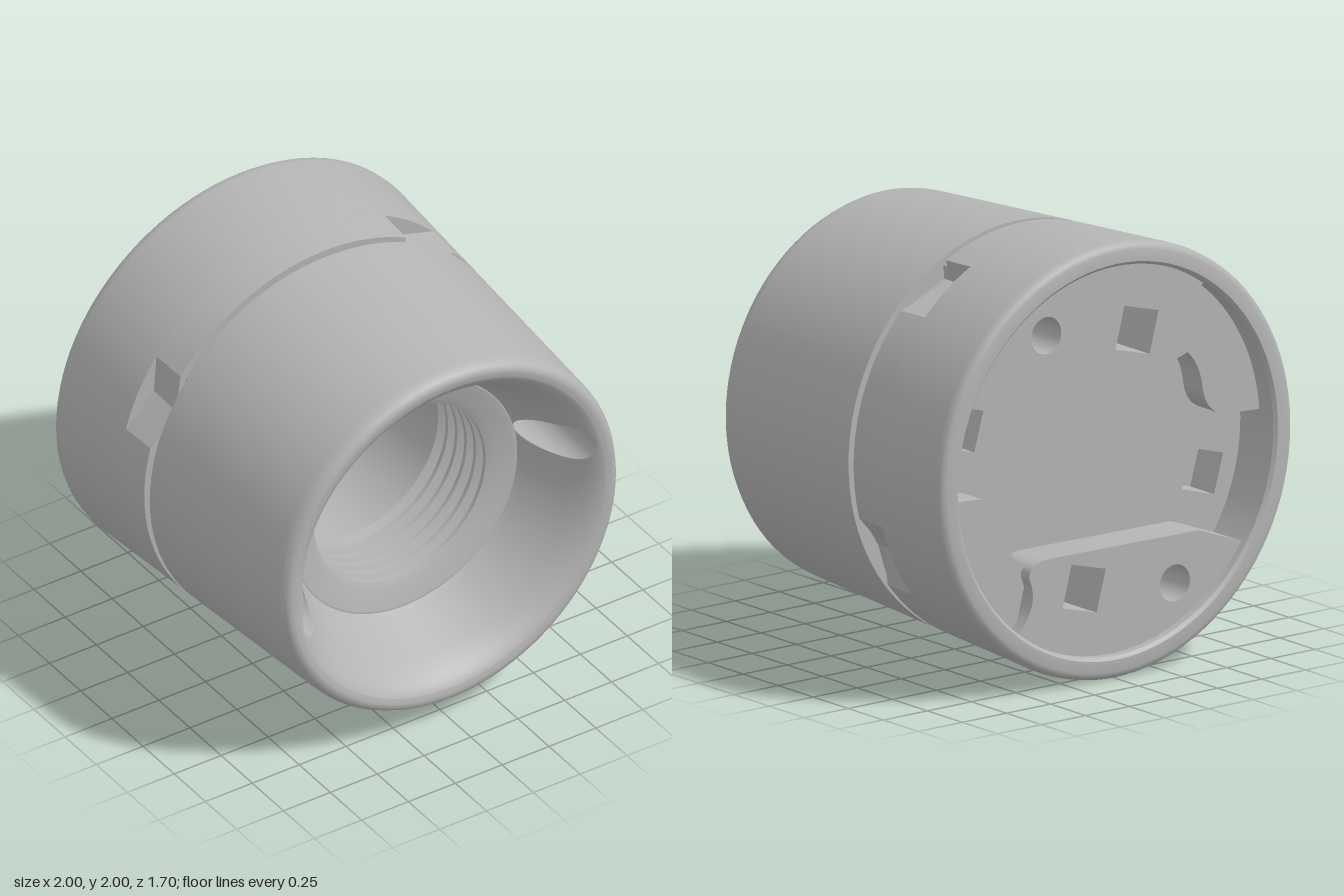
import * as THREE from 'three';
import { toCreasedNormals } from 'three/addons/utils/BufferGeometryUtils.js';
import { ParametricGeometry } from 'three/addons/geometries/ParametricGeometry.js';

const gray = new THREE.MeshStandardMaterial({ color: 0xb4b4b4, side: THREE.DoubleSide });
gray.name = 'plain gray';

const V2 = (x, y) => new THREE.Vector2(x, y);
const outerRadius = z => 0.95 - 0.0625 * z;
const rad = THREE.MathUtils.degToRad;

export function createModel() {
  const model = new THREE.Group();
  const body = new THREE.Group();
  body.name = 'body';
  body.position.y = 1;
  model.add(body);

  function add(name, geometry, turn = 0, crease = 0.6) {
    const mesh = new THREE.Mesh(toCreasedNormals(geometry, crease), gray);
    mesh.name = name;
    mesh.rotation.z = turn;
    body.add(mesh);
  }
  // profile points are [radius, z], turned about the z axis
  const turned = pts => new THREE.LatheGeometry(pts.map(p => V2(...p)), 96).rotateX(Math.PI / 2);
  const prism = (shape, z0, z1) => new THREE.ExtrudeGeometry(shape,
    { depth: z1 - z0, bevelEnabled: false, curveSegments: 48 }).translate(0, 0, z0);
  const circle = (x, y, r) => new THREE.Path().absarc(x, y, r, 0, Math.PI * 2, true);
  function square(x, y, size, angle) {
    const pts = [];
    for (let i = 0; i < 4; i++) {
      const a = angle + Math.PI / 4 - i * Math.PI / 2;
      pts.push(V2(x + Math.cos(a) * size * 0.7071, y + Math.sin(a) * size * 0.7071));
    }
    return new THREE.Path(pts);
  }

  // Front half: tapered outside with a rounded lip
  add('frontShell', turned([
    [0.7, -0.135], [outerRadius(-0.135), -0.135], [0.901, 0.78], [0.897, 0.81],
    [0.882, 0.837], [0.865, 0.849], [0.845, 0.85], [0.82, 0.843],
  ]));

  // Flared front bowl, with two round bores sunk into its wall
  const D = 0.702, C = 0.104, A0 = 0.252, H = Math.asin(C / D), boreFloor = 0.3;
  const bowlZ = r => {
    if (r <= 0.6) return 0.47;
    return r <= 0.7 ? 0.47 + (r - 0.6) * 2.15 : 0.85 - 7.33 * (0.85 - r) ** 2;
  };
  function bowlAngle(v) {
    const t = v * 2, half = Math.min(Math.floor(t), 1), s = t - half;
    const a = s < 0.25 ? A0 - H * Math.cos(Math.PI * s / 0.25)
      : A0 + H + (Math.PI - 2 * H) * (s - 0.25) / 0.75;
    const d = s < 0.25 ? a - A0 : H;
    return [a + half * Math.PI, D * Math.cos(d),
      Math.sqrt(Math.max(0, C * C - (D * Math.sin(d)) ** 2))];
  }
  for (const [name, side, edge] of [['bowlInner', -1, 0.59], ['bowlOuter', 1, 0.82]]) {
    add(name, new ParametricGeometry((u, v, target) => {
      const [a, mid, half] = bowlAngle(v);
      const r = THREE.MathUtils.lerp(mid + side * half, edge, u);
      target.set(r * Math.cos(a), r * Math.sin(a), bowlZ(r));
    }, 12, 128));
  }
  for (const turn of [A0, A0 + Math.PI]) {
    add('boreWall', new ParametricGeometry((u, v, target) => {
      const a = v * Math.PI * 2, x = D + C * Math.cos(a), y = C * Math.sin(a);
      target.set(x, y, THREE.MathUtils.lerp(boreFloor, bowlZ(Math.hypot(x, y)), u));
    }, 1, 40), turn);
    add('boreFloor', new THREE.CircleGeometry(C, 40).translate(D, 0, boreFloor), turn);
  }

  // Ring at the bottom of the bowl and the threaded socket
  const socket = [[0.6, 0.47], [0.49, 0.445]];
  for (let i = 0; i < 5; i++) {
    const z = 0.43 - i * 0.075;
    socket.push([0.457, z], [0.457, z - 0.02], [0.5, z - 0.04], [0.5, z - 0.055]);
  }
  socket.push([0.457, 0.05], [0.457, -0.4], [0, -0.4]);
  add('threadedSocket', turned(socket));

  // Middle band and groove core, with four V-shaped notches
  const notches = [[44, 63, 0.415, 0.76], [143, 165, -0.79, 0.4],
    [224, 243, -0.415, -0.76], [323, 345, 0.79, -0.4]];
  function notchedRing(r) {
    const pts = [];
    notches.forEach(([start, end, x, y], i) => {
      const next = i < 3 ? notches[i + 1][0] : 404;
      pts.push(V2(r * Math.cos(rad(start)), r * Math.sin(rad(start))), V2(x, y));
      for (let k = 0; k < 24; k++) {
        const a = rad(end + (next - end) * k / 24);
        pts.push(V2(r * Math.cos(a), r * Math.sin(a)));
      }
    });
    const shape = new THREE.Shape(pts);
    shape.holes.push(circle(0, 0, 0.7));
    return shape;
  }
  const band = prism(notchedRing(1), -0.355, -0.175);
  const p = band.attributes.position;
  for (let i = 0; i < p.count; i++) {
    // taper only the outer surface
    if (Math.hypot(p.getX(i), p.getY(i)) > 0.95) {
      const s = outerRadius(p.getZ(i));
      p.setXY(i, p.getX(i) * s, p.getY(i) * s);
    }
  }
  add('notchedBand', band, 0, 0.2);
  add('grooveCore', prism(notchedRing(0.925), -0.175, -0.135), 0, 0.2);

  // Back half: rounded rim and recess wall
  add('backShell', turned([
    [0.895, -0.42], [0.895, -0.835], [0.91, -0.85], [0.965, -0.85], [0.985, -0.843],
    [0.997, -0.828], [1, -0.8], [outerRadius(-0.355), -0.355], [0.7, -0.355],
  ]));

  // Recess floor, pierced by the square pockets and screw holes
  const screwHole = s => circle(0.365 * s, 0.63 * s, 0.085);
  const innerPocket = s => square(-0.15 * s, 0.57 * s, 0.2, 0.26);
  const floor = new THREE.Shape().absarc(0, 0, 0.896, 0, Math.PI * 2);
  for (const s of [1, -1]) {
    floor.holes.push(square(0.68 * s, 0.21 * s, 0.19, 0.28), screwHole(s), innerPocket(s));
  }
  add('recessFloor', prism(floor, -0.6, -0.43));
  add('pocketBacking', new THREE.CircleGeometry(0.896, 64).translate(0, 0, -0.425));

  // Raised platforms with screw hole and square pocket, plus rounded side tongues
  for (const turn of [0, Math.PI]) {
    const platform = new THREE.Shape();
    platform.moveTo(0.5, 0.41);
    platform.lineTo(0.74, 0.5);
    platform.absarc(0, 0, 0.894, rad(34), rad(126), false);
    platform.quadraticCurveTo(-0.4, 0.6, -0.46, 0.48);
    platform.quadraticCurveTo(-0.47, 0.41, -0.36, 0.4);
    platform.holes.push(screwHole(1), innerPocket(1));
    add('platform', prism(platform, -0.8, -0.6), turn);

    const tongue = new THREE.Shape();
    tongue.moveTo(-0.89, 0.07);
    tongue.lineTo(-0.7, 0.08);
    tongue.quadraticCurveTo(-0.59, 0.1, -0.57, 0.22);
    tongue.quadraticCurveTo(-0.55, 0.38, -0.42, 0.44);
    tongue.lineTo(-0.5, 0.74);
    tongue.absarc(0, 0, 0.894, rad(124), rad(175), false);
    add('sideTongue', prism(tongue, -0.74, -0.6), turn);
  }
  return model;
}
